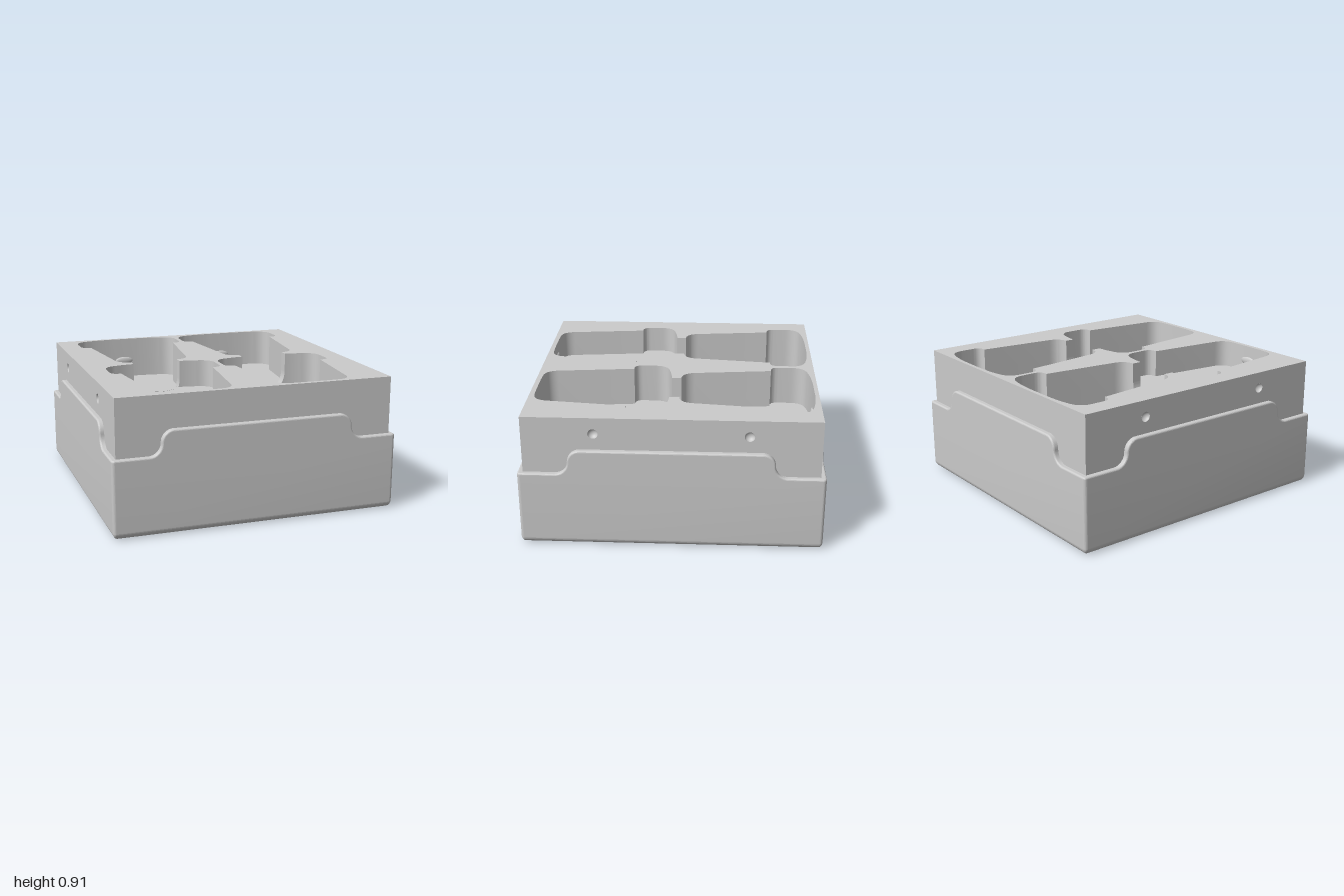
import * as THREE from 'three';
import { toCreasedNormals } from 'three/addons/utils/BufferGeometryUtils.js';

const TOP = 0.91;                               // rim height
const FLOOR = 0.607, MID = 0.64, SHELF = 0.72;  // deep, middle and shallow recess floors
const REAR = -0.938, FRONT = 0.027;             // z where each cup recess starts
const COLUMN = 0.407;                           // x of the two recess columns
const SCOOP_R = 0.168, SCOOP_Z = -0.034, SCOOP_Y = FLOOR + SCOOP_R;
const SHELL_X = 0.973, LEDGE = 0.522;           // shell half width and top edge

export function createModel() {
  const model = new THREE.Group();
  model.name = 'storageTray';
  const grey = new THREE.MeshStandardMaterial({ color: 0xcbcbcb });
  grey.name = 'grey';
  const greyThin = grey.clone();
  greyThin.side = THREE.DoubleSide;

  const add = (name, geo, x = 0, y = 0, z = 0, mat = grey) => {
    const mesh = new THREE.Mesh(geo, mat);
    mesh.name = name;
    mesh.position.set(x, y, z);
    model.add(mesh);
    return mesh;
  };
  const crease = (geo, angle = 0.6) => toCreasedNormals(geo, angle);
  // Extrude an (x, z) outline downwards
  const extrudeDown = (shape, depth) =>
    crease(new THREE.ExtrudeGeometry(shape, { depth, bevelEnabled: false }).rotateX(Math.PI / 2));

  // Half outline of a cup: wide lid, then a tapering body
  const lidAndBody = (p, z) => {
    p.quadraticCurveTo(0.23, z + 0.005, 0.29, z + 0.02);
    p.quadraticCurveTo(0.392, z + 0.035, 0.392, z + 0.13);
    p.lineTo(0.392, z + 0.22);
    p.quadraticCurveTo(0.392, z + 0.277, 0.335, z + 0.277);
    p.lineTo(0.325, z + 0.277);
    p.lineTo(0.265, z + 0.81);
    p.quadraticCurveTo(0.253, z + 0.898, SCOOP_R, z + 0.902);
  };
  const mirrored = (half, cx) => {
    const left = half.slice().reverse().map((p) => new THREE.Vector2(-p.x, p.y));
    return [...half, ...left].map((p) => new THREE.Vector2(p.x + cx, p.y));
  };
  // Two cups joined by a finger passage
  const column = (cx) => {
    const p = new THREE.Path();
    p.moveTo(0.1, REAR);
    lidAndBody(p, REAR);
    p.lineTo(SCOOP_R, FRONT + 0.003);
    lidAndBody(p, FRONT);
    p.lineTo(0.1, FRONT + 0.905);
    return mirrored(p.getPoints(12), cx);
  };

  // Core: solid base below, recessed layer above
  const coreX = 0.91, coreZ = 0.965;
  add('coreBase', new THREE.BoxGeometry(coreX * 2, FLOOR - 0.4, coreZ * 2), 0, (FLOOR + 0.4) / 2, 0);
  const rim = new THREE.Shape([
    new THREE.Vector2(-coreX, -coreZ), new THREE.Vector2(coreX, -coreZ),
    new THREE.Vector2(coreX, coreZ), new THREE.Vector2(-coreX, coreZ)]);
  for (const s of [-1, 1]) rim.holes.push(new THREE.Path(column(s * COLUMN)));
  add('recessedTop', extrudeDown(rim, TOP - FLOOR), 0, TOP, 0);
  add('middleFloor', extrudeDown(new THREE.Shape(column(COLUMN)), MID - FLOOR), 0, MID, 0);

  // Side plates with round dimples
  const plate = new THREE.Shape([
    new THREE.Vector2(-coreZ, 0.4), new THREE.Vector2(coreZ, 0.4),
    new THREE.Vector2(coreZ, TOP), new THREE.Vector2(-coreZ, TOP)]);
  for (const z of [-0.5, 0.5]) plate.holes.push(new THREE.Path().absarc(z, 0.8, 0.033, 0, Math.PI * 2, true));
  const plateGeo = crease(new THREE.ExtrudeGeometry(plate, { depth: 0.03, bevelEnabled: false, curveSegments: 16 }));
  const bowl = new THREE.SphereGeometry(0.033, 24, 8, 0, Math.PI * 2, Math.PI / 2, Math.PI / 2).scale(1, 0.88, 1);
  for (const s of [-1, 1]) {
    add('sidePlate', plateGeo, s * 0.91, 0, 0).rotation.y = s * Math.PI / 2;
    for (const z of [-0.5, 0.5])
      add('sideDimple', bowl, s * 0.94, 0.8, z, greyThin).rotation.z = -s * Math.PI / 2;
  }

  // Shallow floor of one front recess, with a spherical finger scoop
  const lift = SCOOP_Y - SHELF, notchR = Math.sqrt(SCOOP_R ** 2 - lift ** 2);
  const shelfHalf = new THREE.Path();
  shelfHalf.absarc(0, SCOOP_Z, notchR, Math.PI / 2, 0, true);
  shelfHalf.lineTo(SCOOP_R, SCOOP_Z);
  shelfHalf.lineTo(SCOOP_R, FRONT + 0.003);
  lidAndBody(shelfHalf, FRONT);
  shelfHalf.lineTo(0.1, FRONT + 0.905);
  const shelf = new THREE.Shape(mirrored(shelfHalf.getPoints(12).slice(1), -COLUMN));
  add('shallowFloor', extrudeDown(shelf, SHELF - FLOOR), 0, SHELF, 0);
  const theta = Math.acos(-lift / SCOOP_R);
  add('fingerScoop', new THREE.SphereGeometry(SCOOP_R, 32, 16, 0, Math.PI, theta, Math.PI - theta),
    -COLUMN, SCOOP_Y + 0.001, SCOOP_Z, greyThin);

  // Rounded lower corners of both passages
  for (const s of [-1, 1]) {
    const f = new THREE.Shape();
    f.moveTo(s * SCOOP_R, 0);
    f.lineTo(s * SCOOP_R, SCOOP_R);
    f.absarc(0, SCOOP_R, SCOOP_R, s > 0 ? 0 : Math.PI, s > 0 ? -Math.PI / 2 : Math.PI * 1.5, s > 0);
    f.closePath();
    const geo = crease(new THREE.ExtrudeGeometry(f, { depth: 0.064, bevelEnabled: false, curveSegments: 16 }));
    for (const c of [-1, 1]) add('passageFillet', geo, c * COLUMN, FLOOR, SCOOP_Z - 0.001);
  }

  // Small retaining bumps on the end walls
  const bump = new THREE.SphereGeometry(1, 24, 12).scale(0.07, 0.03, 0.014);
  for (const s of [-1, 1]) {
    add('rearBump', bump, s * COLUMN, 0.735, REAR);
    add('frontBump', bump, s * COLUMN, s < 0 ? 0.8 : 0.735, FRONT + 0.905);
  }

  // Outer shell: stacked rounded rectangles, rounded along the bottom and top edges
  const rings = [];
  for (let i = 0; i <= 10; i++) {
    const a = Math.PI / 2 * i / 10;
    rings.push([0.05 * (1 - Math.sin(a)), 0.05 * (1 - Math.cos(a))]);
  }
  for (let i = 0; i <= 5; i++) {
    const a = Math.PI / 2 * i / 5;
    rings.push([0.012 * (1 - Math.cos(a)), LEDGE - 0.012 + 0.012 * Math.sin(a)]);
  }
  const pos = [], idx = [], PER = 8, N = PER * 4;
  for (const [inset, y] of rings) {
    const r = Math.max(0.022 - inset, 0.004);
    for (let k = 0; k < N; k++) {
      const q = Math.floor(k / PER), a = (q + (k % PER) / (PER - 1)) * Math.PI / 2;
      const sx = q === 0 || q === 3 ? 1 : -1, sz = q < 2 ? 1 : -1;
      pos.push(sx * (SHELL_X - inset - r) + r * Math.cos(a), y, sz * (1 - inset - r) + r * Math.sin(a));
    }
  }
  const last = rings.length - 1, base = rings.length * N;
  pos.push(0, 0, 0, 0, LEDGE, 0);
  for (let k = 0; k < N; k++) {
    const n = (k + 1) % N;
    for (let j = 0; j < last; j++) {
      const a = j * N + k, b = j * N + n;
      idx.push(a, a + N, b, b, a + N, b + N);
    }
    idx.push(base, k, n, base + 1, last * N + n, last * N + k);
  }
  const shell = new THREE.BufferGeometry();
  shell.setAttribute('position', new THREE.Float32BufferAttribute(pos, 3));
  shell.setIndex(idx);
  add('outerShell', crease(shell, 0.1));

  // Raised tabs in the middle of each shell side, with S-curved ends
  const tab = (w) => {
    const p = new THREE.Path();
    p.moveTo(w + 0.11, 0.45);
    p.lineTo(w + 0.11, LEDGE);
    p.lineTo(w + 0.084, LEDGE);
    p.absarc(w + 0.084, LEDGE + 0.084, 0.084, -Math.PI / 2, -Math.PI, true);
    p.absarc(w - 0.084, LEDGE + 0.084, 0.084, 0, Math.PI / 2, false);
    return crease(new THREE.ExtrudeGeometry(new THREE.Shape(mirrored(p.getPoints(10), 0)), {
      depth: 0.03, bevelThickness: 0.012, bevelSize: 0.012, bevelOffset: -0.012, bevelSegments: 4 }), 0.12);
  };
  const wide = tab(0.65), long = tab(0.67);
  for (const s of [-1, 1]) {
    add('endTab', wide, 0, 0, s * 0.958).rotation.y = s > 0 ? 0 : Math.PI;
    add('sideTab', long, s * (SHELL_X - 0.042), 0, 0).rotation.y = s * Math.PI / 2;
  }
  return model;
}
